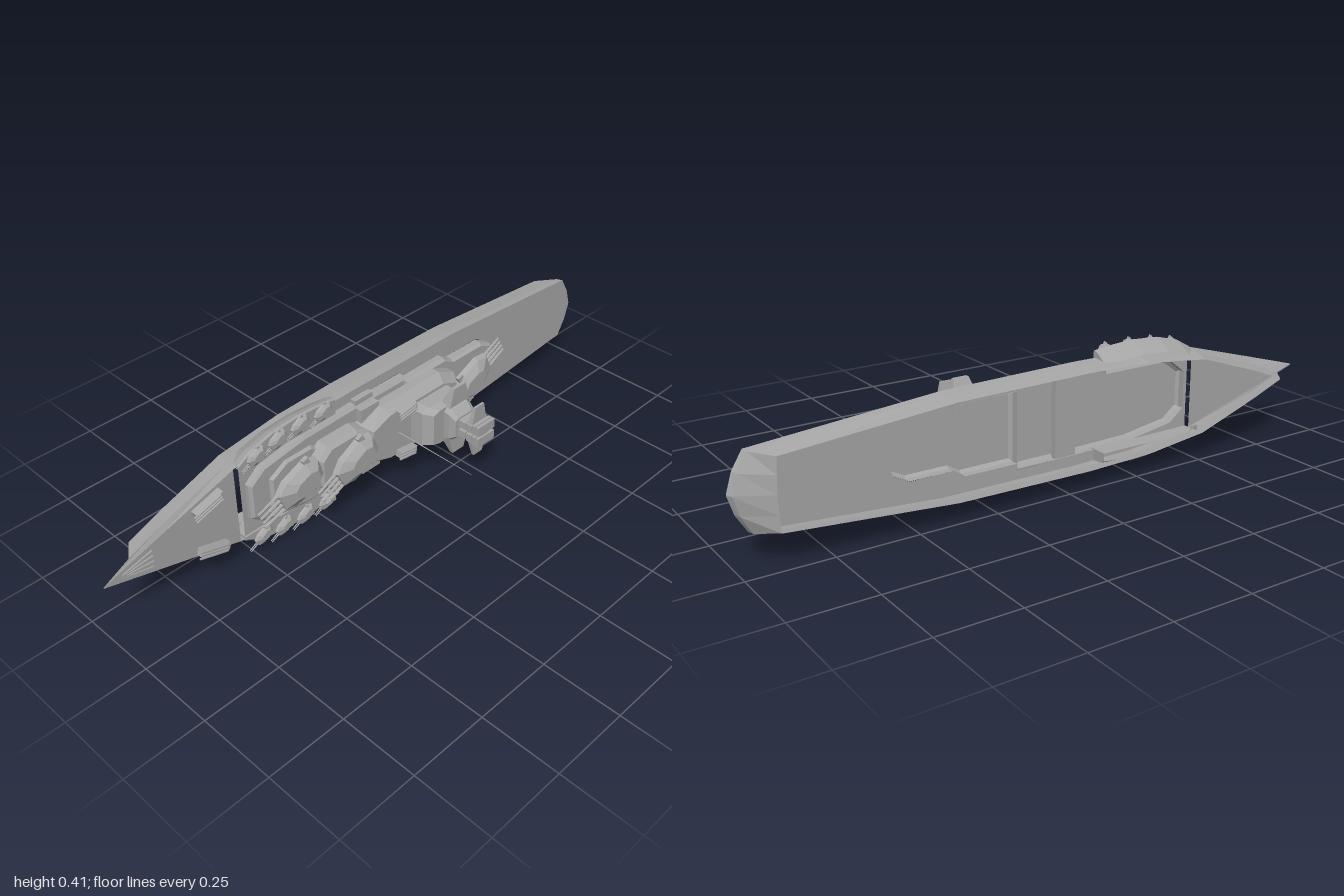
import * as THREE from 'three';

const grey = new THREE.MeshStandardMaterial({ color: 0xa6a6a6, flatShading: true, side: THREE.DoubleSide });
grey.name = 'battleship grey';

const add = (parent, geometry, name) => {
  const mesh = new THREE.Mesh(geometry, grey);
  mesh.name = name;
  parent.add(mesh);
  return mesh;
};

const box = (parent, name, x0, x1, y0, y1, z0, z1) => {
  const mesh = add(parent, new THREE.BoxGeometry(x1 - x0, y1 - y0, z1 - z0), name);
  mesh.position.set((x0 + x1) / 2, (y0 + y1) / 2, (z0 + z1) / 2);
  return mesh;
};

// Full outline from half-breadth points [x, halfWidth, z] listed bow to stern
const outline = (half, z = 0) => [
  ...half.map(([x, w, h]) => [x, -w, h ?? z]),
  ...[...half].reverse().map(([x, w, h]) => [x, w, h ?? z]),
];

// Skin between stacked rings, with an optional lid on the last ring
function loft(rings, lid = true) {
  const pos = [];
  for (let k = 0; k < rings.length - 1; k++) {
    const lo = rings[k], hi = rings[k + 1];
    lo.forEach((a, i) => {
      const j = (i + 1) % lo.length;
      pos.push(...a, ...lo[j], ...hi[j], ...a, ...hi[j], ...hi[i]);
    });
  }
  if (lid) {
    const top = rings[rings.length - 1];
    const flat = top.map(([x, y]) => new THREE.Vector2(x, y));
    for (const f of THREE.ShapeUtils.triangulateShape(flat, [])) for (const i of f) pos.push(...top[i]);
  }
  const g = new THREE.BufferGeometry();
  g.setAttribute('position', new THREE.Float32BufferAttribute(pos, 3));
  g.computeVertexNormals();
  return g;
}

// Symmetric block: levels of [z, scaleX, scaleY, shiftX] about the outline's middle
function block(parent, name, half, levels) {
  const cx = (half[0][0] + half[half.length - 1][0]) / 2;
  const rings = levels.map(([z, sx = 1, sy = sx, dx = 0]) =>
    outline(half.map(([x, w]) => [cx + dx + (x - cx) * sx, w * sy]), z));
  return add(parent, loft(rings), name);
}

// Faceted gun house with barrels pointing to local -x
function turret(parent, name, x, y, z, angle, size, barrels) {
  const g = new THREE.Group();
  g.name = name;
  const plan = [[-0.075, 0.03], [-0.04, 0.052], [0.035, 0.056], [0.075, 0.03]];
  block(g, 'gunHouse', plan, [[0, 0.75, 0.7], [0.014, 1], [0.03, 0.95, 0.9], [0.048, 0.55, 0.5, 0.01]]);
  box(g, 'rangefinder', 0.03, 0.05, -0.062, 0.062, 0.018, 0.03);
  for (let i = 0; i < barrels; i++) {
    const b = add(g, new THREE.CylinderGeometry(0.0035, 0.0055, 0.085, 6), 'barrel');
    b.rotation.z = Math.PI / 2;
    b.position.set(-0.1, (i - (barrels - 1) / 2) * 0.019, 0.022);
  }
  g.position.set(x, y, z);
  g.rotation.z = angle;
  g.scale.setScalar(size);
  parent.add(g);
}

// Light gun mount: low base with a row of thin barrels
function lightGun(parent, x, y, z, angle, length) {
  const g = new THREE.Group();
  g.name = 'lightGun';
  box(g, 'mount', -length / 2, length / 2, -0.012, 0.012, -0.012, 0.012);
  for (const s of [-1, 0, 1]) box(g, 'thinBarrel', -length * 0.6, length * 0.4, s * 0.01 - 0.002, s * 0.01 + 0.002, 0.012, 0.018);
  g.position.set(x, y, z);
  g.rotation.z = angle;
  parent.add(g);
}

// Pair of tapered fins; profile points are [z, y], narrowing in x toward the tip
function fins(parent, name, x0, x1, profile) {
  const mid = (x0 + x1) / 2, root = profile[0][1], tip = profile[1][1];
  for (const s of [1, -1]) {
    const shape = new THREE.Shape(profile.map(([z, y]) => new THREE.Vector2(z, y)));
    const g = new THREE.ExtrudeGeometry(shape, { depth: x1 - x0, bevelEnabled: false });
    g.rotateY(-Math.PI / 2).translate(x1, 0, 0);
    const p = g.attributes.position;
    for (let i = 0; i < p.count; i++) {
      const t = (p.getY(i) - root) / (tip - root);
      p.setX(i, mid + (p.getX(i) - mid) * (1 - 0.4 * t));
    }
    g.computeVertexNormals();
    add(parent, g, name).scale.y = s;
  }
}

const deckZ = (x) => -0.14 - 0.0125 * (x + 1);

// Deck sheet following the sheer line
function deck(parent, name, half, holes = []) {
  const toPath = (h) => outline(h).map(([x, y]) => new THREE.Vector2(x, y));
  const shape = new THREE.Shape(toPath(half));
  holes.forEach((h) => shape.holes.push(new THREE.Path(toPath(h))));
  const g = new THREE.ShapeGeometry(shape);
  const p = g.attributes.position;
  for (let i = 0; i < p.count; i++) p.setZ(i, deckZ(p.getX(i)));
  add(parent, g, name);
}

export function createModel() {
  const root = new THREE.Group();
  root.name = 'warship';
  const ship = new THREE.Group();
  ship.name = 'ship';
  ship.position.y = 0.2;
  root.add(ship);

  // Hull shell, open underneath
  const rim = [[-1, 0.002], [-0.8, 0.06], [-0.53, 0.137], [-0.3, 0.16], [-0.08, 0.164], [0.37, 0.158],
    [0.95, 0.113], [0.982, 0.06], [1, 0.002]];
  const waist = [[-0.89, 0.002], [-0.77, 0.05], [-0.53, 0.13], [-0.3, 0.156], [-0.08, 0.161], [0.37, 0.155],
    [0.945, 0.111], [0.975, 0.058], [0.99, 0.002]];
  const keel = [[-0.85, 0.002], [-0.74, 0.045], [-0.52, 0.12], [-0.3, 0.146], [-0.08, 0.152], [0.37, 0.146],
    [0.89, 0.104], [0.893, 0.055], [0.895, 0.002]];
  const rimRing = outline(rim.map(([x, w]) => [x, w, deckZ(x)]));
  add(ship, loft([outline(keel, -0.24), outline(waist, -0.185), rimRing], false), 'hull');

  // Decks, with a slit between the bow and the main deck
  const foreBase = [[-0.51, 0.06], [-0.46, 0.1], [-0.3, 0.125], [-0.05, 0.13], [0.12, 0.13]];
  const aftBase = [[0.125, 0.11], [0.3, 0.11], [0.34, 0.085], [0.48, 0.085], [0.53, 0.06], [0.54, 0.03]];
  deck(ship, 'bowDeck', [rim[0], rim[1], [-0.545, 0.133]]);
  deck(ship, 'mainDeck', [[-0.528, 0.137], ...rim.slice(3)], [foreBase, aftBase]);

  // Side bulges carrying the secondary guns
  const edge = [[-0.16, 0.184], [-0.22, 0.191], [-0.3, 0.196], [-0.4, 0.189], [-0.48, 0.168], [-0.53, 0.14]];
  const bulge = (z, inset) => [[-0.53, 0.125, z], [-0.16, 0.125, z], ...edge.map(([x, y]) => [x, y - inset, z])];
  for (const side of [1, -1]) {
    const g = new THREE.Group();
    g.name = side > 0 ? 'upperBulge' : 'lowerBulge';
    g.scale.y = side;
    add(g, loft([bulge(-0.203, 0.034), bulge(-0.165, 0.008), bulge(-0.145, 0), bulge(-0.14, 0.006)]), 'bulge');
    [[-0.47, 0.147], [-0.39, 0.161], [-0.305, 0.168], [-0.215, 0.167]].forEach(([x, y]) =>
      turret(g, 'secondaryTurret', x, y, -0.141, side * 0.5, 0.44, 2));
    ship.add(g);
    // Light guns on the bow and amidships
    lightGun(ship, -0.65, side * 0.082, -0.13, side * 0.29, 0.1);
    lightGun(ship, 0.05, side * 0.08, -0.052, side * 0.15, 0.07);
    // Bow chains fanning out from the stem
    for (const k of [0.3, 0.9]) {
      const c = box(ship, 'bowChain', -0.05, 0.05, -0.002, 0.002, -0.003, 0.003);
      c.position.set(-0.89, side * 0.019 * k, -0.14);
      c.rotation.z = side * 0.26 * k;
    }
  }

  // Forward superstructure with two stepped main turrets
  block(ship, 'foreHouse', foreBase, [[-0.152, 1], [-0.132, 1], [-0.124, 0.97, 0.92]]);
  block(ship, 'forePlinth', [[-0.44, 0.05], [-0.38, 0.085], [-0.28, 0.085], [-0.24, 0.06]], [[-0.124, 1], [-0.114, 0.92]]);
  block(ship, 'upperForeHouse', [[-0.29, 0.05], [-0.25, 0.085], [-0.13, 0.085], [-0.07, 0.06]],
    [[-0.124, 1], [-0.085, 0.97], [-0.073, 0.85]]);
  turret(ship, 'firstMainTurret', -0.355, 0.005, -0.114, 0.35, 1.12, 4);
  turret(ship, 'secondMainTurret', -0.17, 0.012, -0.07, 0.45, 1.1, 4);

  // Transverse bridge wing
  box(ship, 'bridgeWing', -0.092, -0.018, -0.142, 0.142, -0.148, -0.128);
  box(ship, 'upperBridgeWing', -0.092, -0.018, -0.12, 0.12, -0.123, -0.102);

  // Midship superstructure
  block(ship, 'midHouse', [[-0.1, 0.07], [-0.02, 0.103], [0.24, 0.103], [0.31, 0.07]],
    [[-0.124, 1], [-0.095, 1], [-0.062, 0.9, 0.78]]);
  block(ship, 'towerBase', [[0.08, 0.06], [0.11, 0.07], [0.24, 0.07], [0.255, 0.06]],
    [[-0.062, 1], [-0.018, 0.96, 1], [0.012, 0.85, 0.9, 0.012]]);

  // Aft superstructure and turret
  block(ship, 'aftHouse', aftBase, [[-0.157, 1], [-0.134, 1], [-0.124, 0.96, 0.92]]);
  turret(ship, 'aftMainTurret', 0.41, -0.005, -0.124, Math.PI + 0.47, 1.08, 4);

  // Command tower: tapered shaft with a stack of paired blocks
  block(ship, 'towerShaft', [[0.15, 0.05], [0.165, 0.063], [0.235, 0.063], [0.25, 0.05]],
    [[0.005, 1], [0.032, 0.97, 0.9], [0.055, 0.85, 0.57]]);
  for (const [z0, z1, w] of [[0.055, 0.083, 0.03], [0.087, 0.107, 0.032], [0.111, 0.122, 0.037], [0.125, 0.136, 0.037]])
    for (const s of [-1, 1]) {
      const mid = s * (w + 0.005) / 2, half = (w - 0.005) / 2;
      box(ship, 'towerBlock', 0.17, 0.245, mid - half, mid + half, z0, z1);
    }
  box(ship, 'towerCore', 0.19, 0.225, -0.006, 0.006, 0.05, 0.13);

  // Fins standing out from the tower
  fins(ship, 'wideFin', 0.165, 0.25, [[-0.016, 0.064], [0.012, 0.123], [0.024, 0.123], [0.024, 0.055]]);
  fins(ship, 'upperFin', 0.175, 0.24, [[0.087, 0.03], [0.098, 0.09], [0.106, 0.09], [0.106, 0.03]]);

  // Mast
  const mast = add(ship, new THREE.CylinderGeometry(0.0006, 0.0025, 0.36, 6), 'mast');
  mast.rotation.x = Math.PI / 2;
  mast.position.set(0.025, 0, 0.058);
  return root;
}
